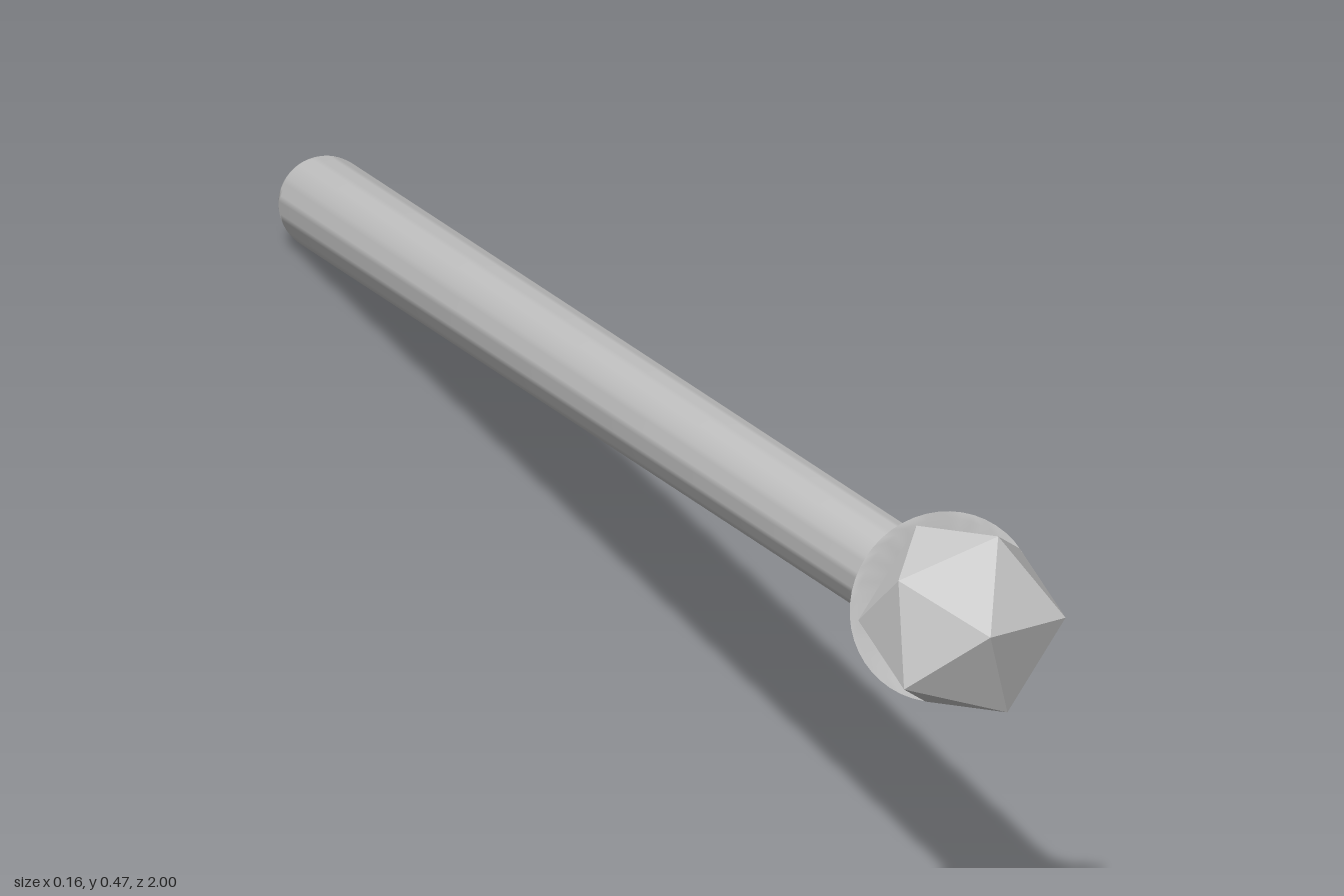
import * as THREE from 'three';
import { toCreasedNormals } from 'three/addons/utils/BufferGeometryUtils.js';

export function createModel() {
  const model = new THREE.Group();
  const grey = new THREE.MeshStandardMaterial({ color: 0xcccccc, side: THREE.DoubleSide });
  const facet = new THREE.MeshStandardMaterial({ color: 0xcccccc, flatShading: true });

  // Tilted staff: local +y runs along the rod to the gem, y = 0 at the cup rim
  const staff = new THREE.Group();
  staff.name = 'staff';
  staff.position.set(0, 0.381, 0.86);
  staff.rotation.x = THREE.MathUtils.degToRad(90 - 10.65);
  model.add(staff);

  const r = 0.039, end = -1.851, neck = -0.1, rim = 0.079;
  const add = (name, geometry, material) => {
    const mesh = new THREE.Mesh(geometry, material);
    mesh.name = name;
    staff.add(mesh);
    return mesh;
  };
  const lathe = (points) => toCreasedNormals(new THREE.LatheGeometry(points, 48), 0.6);

  // Rod with a rounded butt
  const rod = [];
  for (let i = 0; i <= 10; i++) {
    const a = (i / 10) * Math.PI / 2;
    rod.push(new THREE.Vector2(r * Math.sin(a), end - r * Math.cos(a)));
  }
  rod.push(new THREE.Vector2(r, neck));
  add('shaft', lathe(rod), grey);

  // Trumpet-shaped cup with a thin lip and a shallow dish
  const cup = [];
  for (let i = 0; i <= 12; i++) {
    const t = i / 12;
    cup.push(new THREE.Vector2(r + (rim - r) * t ** 1.9, neck * (1 - t)));
  }
  cup.push(new THREE.Vector2(0.073, 0), new THREE.Vector2(0.045, -0.01), new THREE.Vector2(0, -0.012));
  add('cup', lathe(cup), grey);

  // Faceted gem, one corner pointing along the staff
  const gem = new THREE.IcosahedronGeometry(0.086, 0);
  gem.rotateZ(-Math.atan2(1, (1 + Math.sqrt(5)) / 2));
  add('gem', gem, facet).position.y = 0.0565;

  return model;
}
